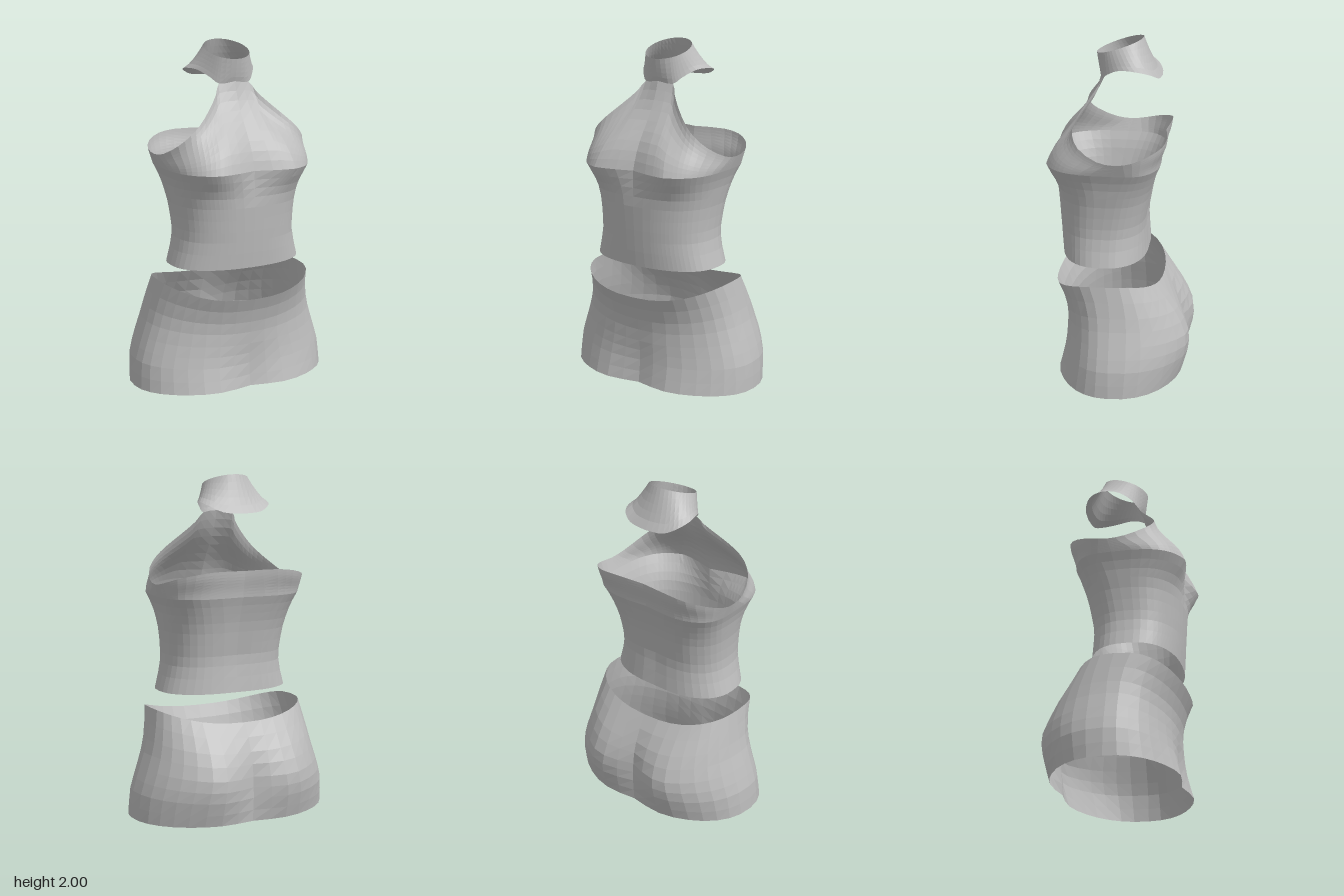
import * as THREE from 'three';

const D = Math.PI / 180;
const V = (x, y, z) => new THREE.Vector3(x, y, z);

// Skins a stack of closed rings, bottom to top, with faceted normals
function loft(name, rings, material) {
  const n = rings[0].length, pts = [];
  for (let k = 0; k < rings.length - 1; k++) {
    for (let i = 0; i < n; i++) {
      const j = (i + 1) % n;
      const a = rings[k][i], b = rings[k][j], c = rings[k + 1][j], d = rings[k + 1][i];
      pts.push(a, b, c, a, c, d);
    }
  }
  const geometry = new THREE.BufferGeometry().setFromPoints(pts);
  geometry.computeVertexNormals();
  const mesh = new THREE.Mesh(geometry, material);
  mesh.name = name;
  return mesh;
}

// Completes a half ring (front centre, left side, back centre) by mirroring in x
function mirrorRing(half) {
  const other = half.slice(1, -1).reverse().map(p => V(-p.x, p.y, p.z));
  return [...half, ...other];
}

// Body section: low e is boxy, high e is round; tent-shaped centre dents make paired lobes
function section(angle, y, [W, front, back, mid, dentF, dentB, e]) {
  const c = Math.cos(angle);
  const x = W * Math.pow(Math.max(0, Math.sin(angle)), e + 0.1);
  const far = c >= 0 ? front : back;
  const tent = Math.max(0, 1 - x / 0.24) * (c >= 0 ? dentF : -dentB);
  return V(x, y, mid + (far - mid) * Math.pow(Math.abs(c), e) - tent);
}

// Smooth samples through stations [angle, x, y, z]
function sampleEdge(stations, count) {
  const curve = new THREE.CatmullRomCurve3(stations.map(s => V(s[1], s[2], s[3])));
  const last = stations.length - 1;
  return Array.from({ length: count + 1 }, (_, i) => {
    const u = i / count * last, k = Math.min(last - 1, Math.floor(u));
    const angle = THREE.MathUtils.lerp(stations[k][0], stations[k + 1][0], u - k) * D;
    const p = curve.getPoint(i / count);
    if (i === 0 || i === count) p.x = 0;
    return { angle, p };
  });
}

function halterTop(material) {
  // y, then half width, front, back, middle, front dent, back dent, roundness
  const levels = [
    [0.73, 0.40, 0.35, -0.168, 0.09, 0, 0.012, 0.8],
    [0.82, 0.375, 0.358, -0.165, 0.09, 0, 0.018, 0.8],
    [0.89, 0.362, 0.363, -0.163, 0.085, 0, 0.022, 0.8],
    [0.95, 0.36, 0.367, -0.166, 0.08, 0, 0.025, 0.78],
    [1.02, 0.365, 0.371, -0.178, 0.07, 0, 0.025, 0.77],
    [1.09, 0.373, 0.375, -0.19, 0.06, 0, 0.025, 0.75],
    [1.15, 0.385, 0.383, -0.203, 0.05, 0.01, 0.025, 0.72],
    [1.20, 0.395, 0.402, -0.217, 0.04, 0.03, 0.025, 0.68],
    [1.25, 0.41, 0.427, -0.232, 0.03, 0.057, 0.025, 0.64],
    [1.30, 0.43, 0.445, -0.25, 0.02, 0.075, 0.025, 0.6],
  ];
  // Upper edge: neck, armhole, back
  const edge = sampleEdge([
    [0, 0, 1.78, 0.128], [15, 0.095, 1.77, 0.112], [22, 0.13, 1.715, 0.145],
    [30, 0.20, 1.64, 0.20], [39, 0.28, 1.565, 0.245], [48, 0.34, 1.51, 0.25],
    [60, 0.40, 1.45, 0.21], [76, 0.445, 1.39, 0.10], [90, 0.455, 1.375, 0],
    [105, 0.45, 1.39, -0.10], [122, 0.40, 1.42, -0.19], [140, 0.31, 1.445, -0.255],
    [157, 0.20, 1.458, -0.27], [180, 0, 1.455, -0.25],
  ], 26);
  const rings = levels.map(([y, ...s]) => mirrorRing(edge.map(e => section(e.angle, y, s))));
  const [y, ...bust] = levels[levels.length - 1];
  // Rounds over the bust, then rises to the edge
  for (let k = 1; k <= 9; k++) {
    const t = k / 9, s = t - 0.07 * Math.sin(2 * Math.PI * t);
    rings.push(mirrorRing(edge.map(e => {
      const from = section(e.angle, y, bust), q = from.clone().lerp(e.p, t);
      q.z = THREE.MathUtils.lerp(from.z, e.p.z, s);
      return q;
    })));
  }
  return loft('halterTop', rings, material);
}

function collar(material) {
  // Flared lower edge, rising to a tilted round opening
  const edge = sampleEdge([
    [0, 0, 1.78, 0.128], [38, 0.095, 1.77, 0.112], [55, 0.135, 1.805, 0.08],
    [75, 0.182, 1.843, 0.005], [100, 0.21, 1.845, -0.09], [125, 0.19, 1.825, -0.17],
    [150, 0.12, 1.79, -0.213], [180, 0, 1.78, -0.225],
  ], 21);
  const rings = [];
  for (let k = 0; k <= 5; k++) {
    const t = k / 5, s = Math.pow(t, 0.75);
    rings.push(mirrorRing(edge.map(({ angle, p }) => {
      const c = Math.cos(angle);
      const rim = V(0.133 * Math.sin(angle), 1.955 - 0.045 * c, 0.018 + 0.135 * c);
      const q = p.clone().lerp(rim, s);
      q.y = THREE.MathUtils.lerp(p.y, rim.y, t);
      return q;
    })));
  }
  return loft('collar', rings, material);
}

function skirt(material) {
  // height fraction, then the section values
  const levels = [
    [0, 0.61, 0.392, -0.40, 0.02, 0.06, 0.045, 0.9],
    [0.12, 0.606, 0.372, -0.425, 0.02, 0.05, 0.065, 0.9],
    [0.25, 0.598, 0.352, -0.45, 0.02, 0.035, 0.085, 0.9],
    [0.36, 0.578, 0.342, -0.463, 0.02, 0.025, 0.10, 0.9],
    [0.47, 0.555, 0.336, -0.46, 0.02, 0.015, 0.10, 0.9],
    [0.60, 0.527, 0.33, -0.425, 0.02, 0.005, 0.075, 0.87],
    [0.72, 0.507, 0.335, -0.38, 0.02, 0, 0.05, 0.84],
    [0.86, 0.488, 0.356, -0.315, 0.03, 0, 0.02, 0.8],
    [1, 0.47, 0.39, -0.25, 0.05, 0, 0, 0.75],
  ];
  const half = Array.from({ length: 19 }, (_, i) => i * 10 * D);
  const rings = levels.map(([t, ...s]) => mirrorRing(half.map(a => {
    // Waist dips at front and back, peaks over the hips
    const top = 0.558 - 0.01 * Math.cos(a) + 0.084 * Math.sin(a) ** 2;
    return section(a, t * top, s);
  })));
  return loft('skirt', rings, material);
}

export function createModel() {
  const cloth = new THREE.MeshStandardMaterial({ color: 0xbcbcbc, side: THREE.DoubleSide });
  cloth.name = 'greyCloth';
  const group = new THREE.Group();
  group.name = 'outfit';
  group.add(halterTop(cloth), collar(cloth), skirt(cloth));
  return group;
}
